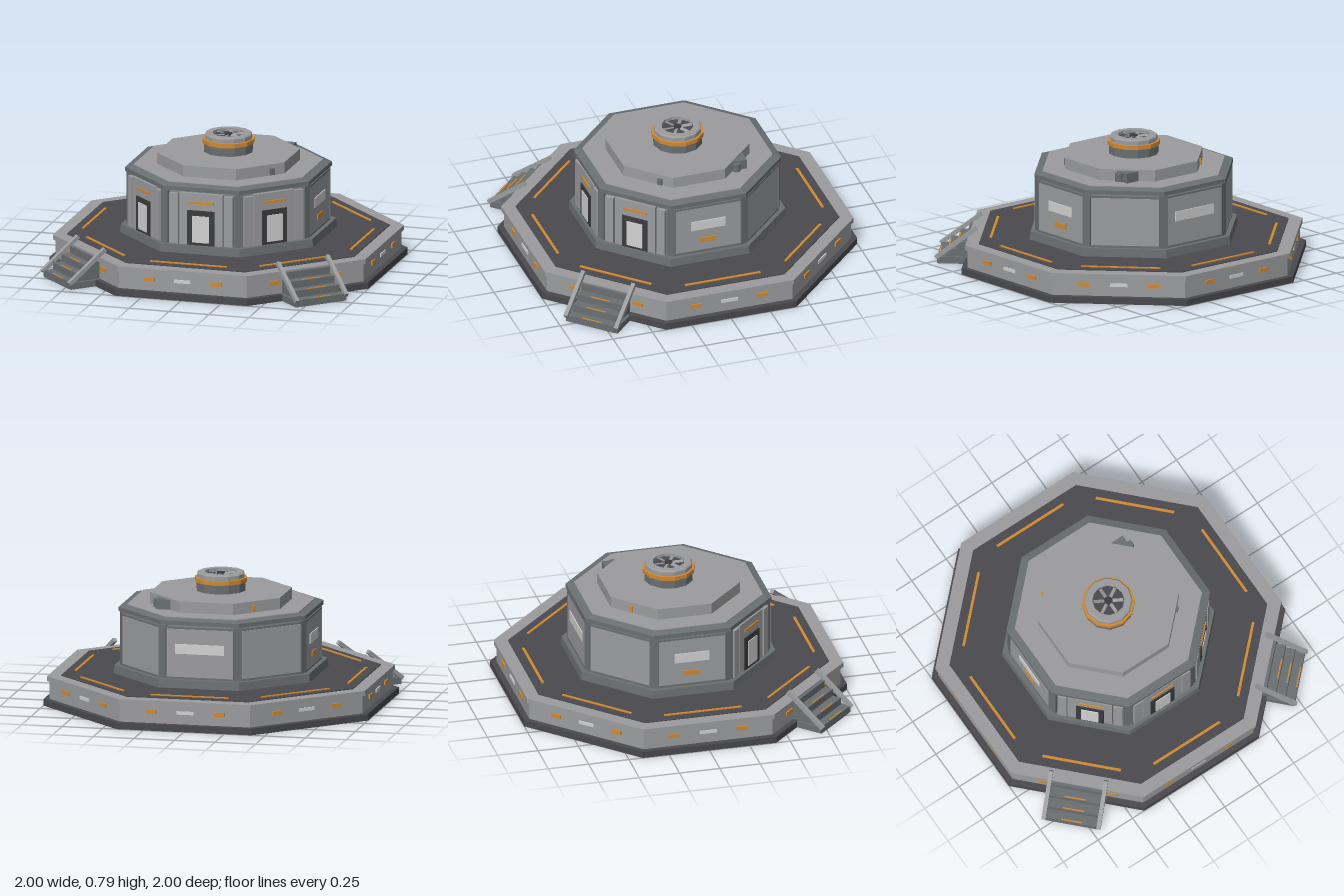
import * as THREE from 'three';

const mat = (name, color) => {
  const m = new THREE.MeshStandardMaterial({ color });
  m.name = name;
  return m;
};

export function createModel() {
  const light = mat('light grey', 0x9b9c9e);
  const wallGrey = mat('wall grey', 0x85898b);
  const trim = mat('trim grey', 0x6a6f72);
  const dark = mat('dark grey', 0x4a494e);
  const frameDark = mat('frame charcoal', 0x3c3c40);
  const orange = mat('orange', 0xd08a34);
  const white = mat('pale panel', 0xd2d2d2);

  const root = new THREE.Group();
  root.name = 'octagonalOutpost';

  const add = (parent, name, geo, material, x = 0, y = 0, z = 0) => {
    const m = new THREE.Mesh(geo, material);
    m.name = name;
    m.position.set(x, y, z);
    parent.add(m);
    return m;
  };
  const box = (parent, name, material, w, h, d, x, y, z) =>
    add(parent, name, new THREE.BoxGeometry(w, h, d), material, x, y, z);

  // Octagonal slab with flat sides towards the axes; sizes are apothems
  const slab = (name, material, y0, y1, bottom, top = bottom) => {
    const k = 1 / Math.cos(Math.PI / 8);
    const geo = new THREE.CylinderGeometry(top * k, bottom * k, y1 - y0, 8).rotateY(Math.PI / 8);
    return add(root, name, geo.toNonIndexed(), material, 0, (y0 + y1) / 2, 0).geometry.computeVertexNormals();
  };
  // Group whose +z points out of side i (0 front, 2 right, 4 back)
  const side = (name, i) => {
    const g = new THREE.Group();
    g.name = name;
    g.rotation.y = i * Math.PI / 4;
    root.add(g);
    return g;
  };

  // Platform
  slab('foundation', dark, 0, 0.04, 1.0);
  slab('platformBody', light, 0.04, 0.15, 0.965);
  slab('platformRim', light, 0.15, 0.18, 0.98);
  slab('deck', dark, 0.18, 0.185, 0.9);

  // Building shell and roof
  slab('plinth', trim, 0.185, 0.235, 0.605, 0.6);
  slab('walls', wallGrey, 0.235, 0.565, 0.555);
  slab('roofEdge', trim, 0.565, 0.59, 0.577);
  slab('roofSlope', trim, 0.59, 0.602, 0.577, 0.53);
  slab('roofPanel', light, 0.602, 0.606, 0.53);
  slab('upperRoof', light, 0.606, 0.675, 0.4);

  for (let i = 0; i < 8; i++) {
    // Platform lights
    const p = side('platformSide', i);
    box(p, 'deckStrip', orange, 0.48, 0.008, 0.016, 0, 0.187, 0.84);
    box(p, 'sidePanelLight', white, 0.105, 0.02, 0.009, 0, 0.11, 0.967);
    for (const s of [-1, 1]) box(p, 'sideMarker', orange, 0.066, 0.025, 0.012, s * 0.21, 0.11, 0.968);

    // Wall details
    const w = side('wallSide', i);
    const post = side('cornerPost', i + 0.5);
    box(post, 'post', trim, 0.05, 0.325, 0.04, 0, 0.3975, 0.592);
    if (i === 0 || i === 1 || i === 7) {
      box(w, 'doorPanel', light, 0.27, 0.32, 0.03, 0, 0.395, 0.563);
      box(w, 'doorFrame', frameDark, 0.17, 0.215, 0.02, 0, 0.3425, 0.575);
      box(w, 'doorGlass', white, 0.105, 0.165, 0.006, 0, 0.335, 0.587);
      box(w, 'doorLight', orange, 0.155, 0.016, 0.012, 0, 0.498, 0.579);
      for (const s of [-1, 1]) box(w, 'pilaster', light, 0.055, 0.31, 0.03, s * 0.172, 0.392, 0.566);
    } else {
      box(w, 'wallPanel', light, 0.41, 0.3, 0.02, 0, 0.39, 0.56);
      box(w, 'panelSill', trim, 0.43, 0.012, 0.026, 0, 0.241, 0.56);
      box(w, 'panelHeader', trim, 0.43, 0.012, 0.026, 0, 0.548, 0.56);
      if (i === 4) box(w, 'wideWindow', white, 0.3, 0.06, 0.008, 0, 0.42, 0.572);
      if (i === 2 || i === 6) {
        box(w, 'window', white, 0.215, 0.06, 0.008, 0, 0.42, 0.572);
        box(w, 'wallMarker', orange, 0.105, 0.03, 0.008, 0, 0.317, 0.572);
      }
    }
  }

  // Stairs with sloping rails on the two front diagonals
  for (const i of [1, 7]) {
    const g = side('stairs', i);
    const n = 4, inner = 0.94, depth = 0.058;
    for (let k = 0; k < n; k++) {
      const h = 0.043 * (n - k), outer = inner + depth * (k + 1);
      box(g, 'step', trim, 0.31, h, depth, 0, h / 2, outer - depth / 2);
      if (k > 0) box(g, 'stepMarker', orange, 0.13, 0.005, 0.008, 0, h + 0.001, outer - 0.008);
    }
    const a = new THREE.Vector3(0, 0.035, 1.18), b = new THREE.Vector3(0, 0.222, 0.935);
    for (const s of [-1, 1]) {
      const rail = box(g, 'rail', light, 0.025, 0.025, a.distanceTo(b), s * 0.168, (a.y + b.y) / 2, (a.z + b.z) / 2);
      rail.rotation.x = Math.atan2(b.y - a.y, a.z - b.z);
      box(g, 'stringer', trim, 0.02, 0.04, 0.22, s * 0.163, 0.02, 1.06);
    }
  }

  // Ventilation drum with an open top
  const drum = new THREE.Group();
  drum.name = 'ventDrum';
  root.add(drum);
  const ring = (name, material, points) => {
    const geo = new THREE.LatheGeometry(points.map(([r, y]) => new THREE.Vector2(r, y)), 12).toNonIndexed();
    geo.computeVertexNormals();
    add(drum, name, geo, material);
  };
  ring('drumBase', trim, [[0.15, 0.675], [0.15, 0.735]]);
  ring('drumBand', orange, [[0.145, 0.73], [0.16, 0.73], [0.16, 0.756], [0.14, 0.756]]);
  ring('drumCap', light, [[0.145, 0.756], [0.145, 0.78], [0.138, 0.788], [0.097, 0.788], [0.097, 0.765]]);
  add(drum, 'fanWell', new THREE.CylinderGeometry(0.1, 0.1, 0.01, 24), dark, 0, 0.765, 0);
  add(drum, 'fanHub', new THREE.CylinderGeometry(0.025, 0.025, 0.015, 12), frameDark, 0, 0.777, 0);
  for (let k = 0; k < 6; k++) {
    const arm = new THREE.Group();
    arm.name = 'fanBlade';
    arm.rotation.y = k * Math.PI / 3;
    drum.add(arm);
    box(arm, 'blade', light, 0.02, 0.005, 0.065, 0, 0.776, 0.057).rotation.z = 0.35;
  }

  // Rooftop fittings
  box(root, 'roofUnit', trim, 0.1, 0.06, 0.1, 0.277, 0.636, -0.28);
  add(root, 'roofUnitPipe', new THREE.CylinderGeometry(0.026, 0.026, 0.05, 12), trim, 0.33, 0.633, -0.262);
  box(side('roofMarker', 5), 'marker', orange, 0.022, 0.04, 0.012, -0.02, 0.632, 0.403);
  box(side('roofVent', 1), 'vent', trim, 0.03, 0.04, 0.02, 0.08, 0.63, 0.402);

  return root;
}
